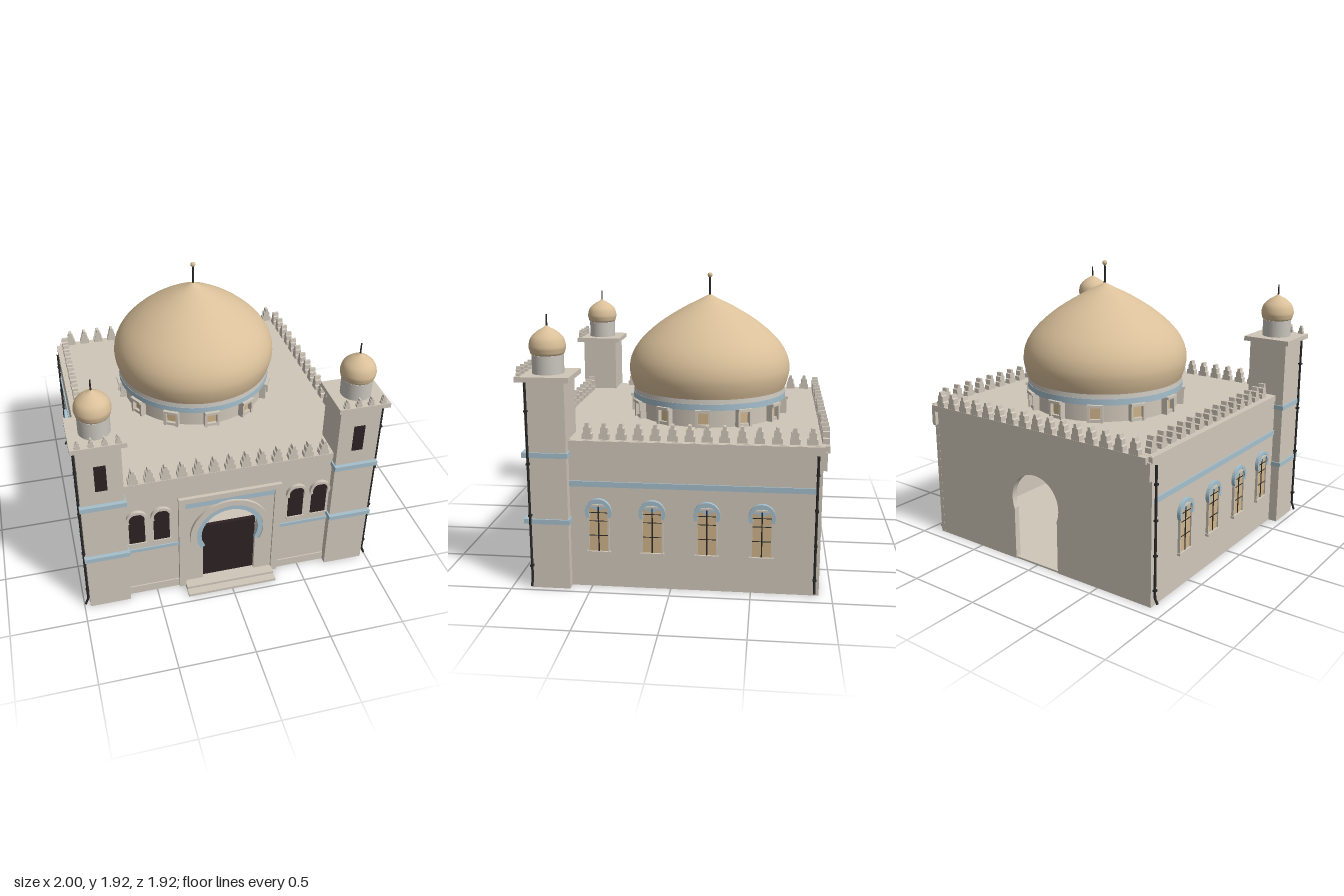
import * as THREE from 'three';

const mat = (name, color) => Object.assign(new THREE.MeshStandardMaterial({ color }), { name });

export function createModel() {
  const root = new THREE.Group();
  root.name = 'domedHall';
  const stone = mat('stone', 0xd0c7ba);
  const plaster = mat('pale plaster', 0xcac5be);
  const gold = mat('dome tan', 0xdac09a);
  const blue = mat('blue trim', 0xa5bfcc);
  const amber = mat('window tan', 0xcfb48a);
  const dark = mat('dark opening', 0x2c2122);
  const iron = mat('iron', 0x2a2a2a);

  const add = (parent, name, geo, m, x = 0, y = 0, z = 0) => {
    const mesh = new THREE.Mesh(geo, m);
    mesh.name = name;
    mesh.position.set(x, y, z);
    parent.add(mesh);
    return mesh;
  };
  const group = (parent, name) => {
    const g = new THREE.Group();
    g.name = name;
    parent.add(g);
    return g;
  };
  // box given by its limits on each axis
  const box = (parent, name, m, x0, x1, y0, y1, z0, z1) =>
    add(parent, name, new THREE.BoxGeometry(x1 - x0, y1 - y0, z1 - z0), m,
      (x0 + x1) / 2, (y0 + y1) / 2, (z0 + z1) / 2);
  const extrude = (shape, depth) =>
    new THREE.ExtrudeGeometry(shape, { depth, bevelEnabled: false, curveSegments: 28 });
  const lathe = (pts, n = 40) => new THREE.LatheGeometry(
    new THREE.SplineCurve(pts.map(p => new THREE.Vector2(...p))).getPoints(28), n);

  // horseshoe ring, its ends dropping by angle a below the centre
  const ring = (r0, r1, a, depth) => {
    const s = new THREE.Shape();
    s.absarc(0, 0, r1, -a, Math.PI + a, false);
    s.absarc(0, 0, r0, Math.PI + a, -a, true);
    s.closePath();
    return extrude(s, depth);
  };
  // wall with a horseshoe archway standing on its base
  const archWall = (w, h, depth) => {
    const s = new THREE.Shape();
    const a = Math.acos(0.18 / 0.195);
    s.moveTo(-w, 0);
    s.lineTo(-0.18, 0);
    s.absarc(0, 0.435, 0.195, Math.PI + a, -a, true);
    s.lineTo(0.18, 0);
    s.lineTo(w, 0);
    s.lineTo(w, h);
    s.lineTo(-w, h);
    s.closePath();
    return extrude(s, depth);
  };

  // hollow main hall
  const hall = group(root, 'hall');
  add(hall, 'frontWall', archWall(0.89, 0.95, 0.04), stone, 0, 0, 0.79);
  add(hall, 'backWall', archWall(0.89, 0.95, 0.04), stone, 0, 0, -0.92);
  for (const s of [-1, 1]) {
    box(hall, 'sideWall', stone, s * 0.885 - 0.015, s * 0.885 + 0.015, 0, 0.95, -0.921, 0.82);
    box(hall, 'sideCornice', stone, s * 0.89 - 0.016, s * 0.89 + 0.016, 0.91, 0.952, -0.93, 0.7);
    box(hall, 'sideBand', blue, s * 0.9 - 0.009, s * 0.9 + 0.009, 0.66, 0.695, -0.9, 0.64);
    box(hall, 'backSpout', stone, s * 0.885 - 0.015, s * 0.885 + 0.015, 0.805, 0.92, -0.945, -0.92);
    box(hall, 'frontPlinth', stone, s * 0.515 - 0.18, s * 0.515 + 0.18, 0, 0.062, 0.82, 0.838);
    box(hall, 'frontBand', blue, s * 0.515 - 0.18, s * 0.515 + 0.18, 0.38, 0.405, 0.82, 0.838);
  }
  box(hall, 'floor', stone, -0.89, 0.89, 0, 0.012, -0.915, 0.825);
  box(hall, 'roof', stone, -0.89, 0.89, 0.92, 0.953, -0.915, 0.825);
  box(hall, 'backCornice', stone, -0.88, 0.88, 0.91, 0.952, -0.96, -0.91);
  box(hall, 'frontCornice', stone, -0.7, 0.7, 0.908, 0.952, 0.82, 0.836);

  // stepped merlons along the roof edge
  const half = [[0.032, 0], [0.032, 0.035], [0.022, 0.04], [0.022, 0.075], [0.012, 0.08], [0.009, 0.105]];
  const merlonShape = new THREE.Shape([...half, ...half.map(([x, y]) => [-x, y]).reverse()]
    .map(p => new THREE.Vector2(...p)));
  const merlonGeo = extrude(merlonShape, 0.042).translate(0, 0, -0.021);
  const merlon = (parent, x, y, z, turn = 0, scale = 1) => {
    const m = add(parent, 'merlon', merlonGeo, stone, x, y, z);
    m.rotation.y = turn;
    m.scale.setScalar(scale);
  };
  const merlons = group(root, 'battlements');
  for (let i = 0; i < 13; i++) merlon(merlons, -0.624 + i * 0.104, 0.95, 0.812);
  for (let i = 0; i < 16; i++) merlon(merlons, -0.795 + i * 0.106, 0.95, -0.937);
  for (let i = 0; i < 14; i++)
    for (const s of [-1, 1]) merlon(merlons, s * 0.848, 0.95, -0.857 + i * 0.106, Math.PI / 2);

  // entrance portal with arch, door and steps
  const portal = group(root, 'portal');
  const frame = new THREE.Shape([[-0.345, 0], [-0.3, 0], [-0.3, 0.74], [0.3, 0.74], [0.3, 0],
    [0.345, 0], [0.345, 0.78], [-0.345, 0.78]].map(p => new THREE.Vector2(...p)));
  add(portal, 'portalFrame', extrude(frame, 0.035), stone, 0, 0, 0.82);
  add(portal, 'portalPanel', archWall(0.305, 0.745, 0.02), stone, 0, 0, 0.82);
  box(portal, 'portalBand', blue, -0.3, 0.3, 0.692, 0.735, 0.835, 0.844);
  add(portal, 'outerArch', ring(0.228, 0.27, 0.48, 0.03), stone, 0, 0.44, 0.83);
  add(portal, 'blueArch', ring(0.193, 0.23, 0.5, 0.02), blue, 0, 0.437, 0.832);
  box(portal, 'door', dark, -0.183, 0.183, 0.03, 0.487, 0.79, 0.815);
  box(portal, 'lowerStep', stone, -0.305, 0.305, 0, 0.018, 0.82, 0.957);
  box(portal, 'upperStep', stone, -0.305, 0.305, 0, 0.036, 0.78, 0.905);

  // paired arched windows on the front
  for (const x of [-0.617, -0.455, 0.455, 0.617]) {
    const w = group(root, 'frontWindow');
    w.position.set(x, 0, 0.83);
    box(w, 'opening', dark, -0.052, 0.052, 0.46, 0.695, -0.002, 0.006);
    add(w, 'hood', ring(0.052, 0.07, 0.4, 0.022), stone, 0, 0.667, 0);
    box(w, 'sill', stone, -0.06, 0.06, 0.45, 0.462, 0, 0.014);
  }

  // tall side windows, built facing +z then turned
  const bar = (w, x0, x1, y0, y1) => box(w, 'glazingBar', iron, x0, x1, y0, y1, 0.008, 0.013);
  for (const s of [-1, 1]) for (const z of [0.45, 0.113, -0.226, -0.564]) {
    const w = group(root, 'sideWindow');
    w.position.set(s * 0.9, 0, z);
    w.rotation.y = s * Math.PI / 2;
    box(w, 'pane', amber, -0.06, 0.06, 0.24, 0.54, 0.001, 0.009);
    add(w, 'blueHood', ring(0.06, 0.083, 0.5, 0.024), blue, 0, 0.503, 0);
    add(w, 'blueFan', new THREE.CircleGeometry(0.075, 28, 0.45, Math.PI - 0.9), blue, 0, 0.503, 0.012);
    for (const k of [-1, 1])
      box(w, 'jamb', stone, k * 0.063 - 0.005, k * 0.063 + 0.005, 0.235, 0.545, 0, 0.018);
    box(w, 'lintel', stone, -0.07, 0.07, 0.538, 0.55, 0, 0.022);
    box(w, 'sill', stone, -0.074, 0.074, 0.226, 0.242, 0, 0.024);
    bar(w, -0.004, 0.004, 0.24, 0.54);
    for (const y of [0.345, 0.44, 0.495]) bar(w, -0.06, 0.06, y - 0.002, y + 0.002);
  }

  // main dome on its windowed drum
  const dome = group(root, 'mainDome');
  dome.position.z = -0.167;
  add(dome, 'drum', new THREE.CylinderGeometry(0.5, 0.5, 0.14, 48), stone, 0, 1.015, 0);
  add(dome, 'drumBand', new THREE.CylinderGeometry(0.53, 0.53, 0.04, 48), blue, 0, 1.09, 0);
  add(dome, 'drumRim', new THREE.CylinderGeometry(0.524, 0.528, 0.035, 48), plaster, 0, 1.125, 0);
  add(dome, 'shell', lathe([[0.525, 1.14], [0.545, 1.2], [0.555, 1.275], [0.535, 1.365], [0.47, 1.465],
    [0.34, 1.58], [0.18, 1.68], [0.07, 1.735], [0, 1.772]], 56), gold);
  add(dome, 'finialRod', new THREE.CylinderGeometry(0.006, 0.008, 0.15, 8), iron, 0, 1.825, 0);
  add(dome, 'finialBall', new THREE.SphereGeometry(0.017, 14, 8), gold, 0, 1.9, 0);
  for (let i = 0; i < 12; i++) {
    const w = group(dome, 'drumWindow');
    w.rotation.y = i * Math.PI / 6;
    box(w, 'pane', amber, -0.035, 0.035, 0.97, 1.06, 0.502, 0.51);
    for (const k of [-1, 1])
      box(w, 'post', stone, k * 0.042 - 0.008, k * 0.042 + 0.008, 0.955, 1.07, 0.48, 0.54);
    box(w, 'head', stone, -0.05, 0.05, 1.056, 1.074, 0.48, 0.55);
    box(w, 'sill', stone, -0.05, 0.05, 0.955, 0.975, 0.48, 0.53);
  }

  // rain pipe with a kicked-out foot
  const pipe = (parent, s, x, z, top) => {
    const path = new THREE.CatmullRomCurve3([[x, top], [x, top * 0.5], [x, 0.06], [x + 0.02, 0.02]]
      .map(([px, py]) => new THREE.Vector3(s * px, py, z)), false, 'catmullrom', 0.1);
    add(parent, 'rainPipe', new THREE.TubeGeometry(path, 24, 0.008, 8), iron);
    for (const f of [0.11, 0.36, 0.61, 0.86])
      box(parent, 'pipeClip', iron, s * x - 0.011, s * x + 0.011, top * f, top * f + 0.012, z - 0.011, z + 0.011);
  };

  // corner towers with small domes
  for (const s of [-1, 1]) {
    const t = group(root, s > 0 ? 'leftTower' : 'rightTower');
    const cx = s * 0.825, cz = 0.758;
    const slab = (name, m, r, y0, y1, z0, z1) => box(t, name, m, cx - r, cx + r, y0, y1, z0, z1);
    slab('shaft', stone, 0.136, 0, 1.33, 0.63, 0.88);
    slab('cap', stone, 0.168, 1.325, 1.357, 0.595, 0.925);
    slab('upperBand', blue, 0.146, 0.853, 0.885, 0.62, 0.907);
    slab('lowerBand', blue, 0.146, 0.427, 0.458, 0.62, 0.907);
    slab('slot', dark, 0.037, 0.99, 1.18, 0.878, 0.885);
    for (const d of [-0.12, -0.04, 0.04, 0.12]) merlon(t, cx + d, 1.355, 0.908, 0, 0.56);
    add(t, 'turretDrum', new THREE.CylinderGeometry(0.098, 0.098, 0.12, 32), plaster, cx, 1.412, cz);
    add(t, 'turretDome', lathe([[0, 1.468], [0.09, 1.47], [0.109, 1.5], [0.112, 1.53], [0.098, 1.575],
      [0.06, 1.612], [0.02, 1.635], [0, 1.65]], 28), gold, cx, 0, cz);
    add(t, 'turretRod', new THREE.CylinderGeometry(0.004, 0.006, 0.08, 8), iron, cx, 1.675, cz);
    pipe(t, s, 0.972, 0.867, 1.325);
    pipe(root, s, 0.91, -0.892, 0.9);
  }
  return root;
}
